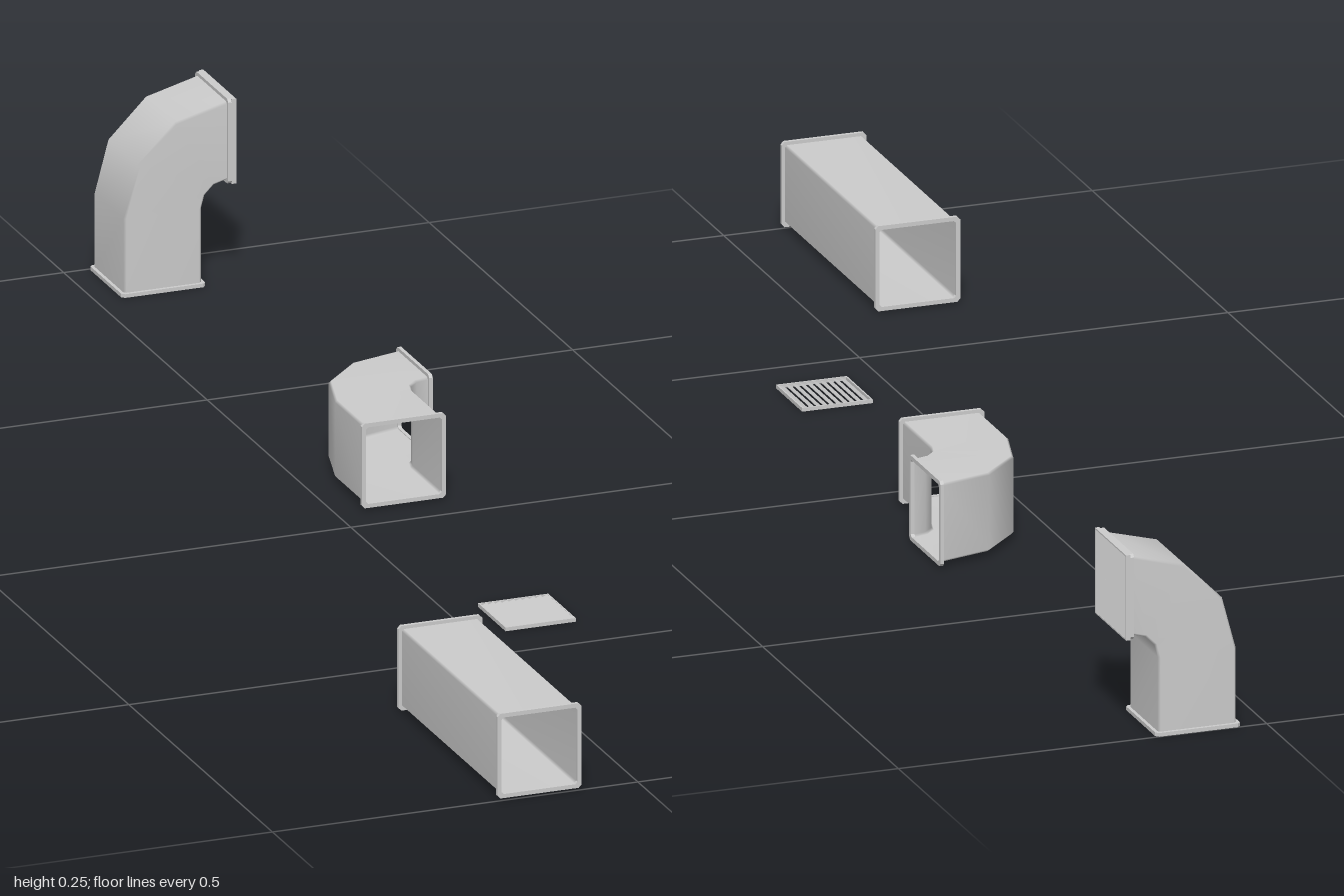
import * as THREE from 'three';

const HALF = 0.053;    // half width of the duct wall
const FLANGE = 0.0575; // half width of the flange
const LIP = 0.005;     // flange thickness
const BEND = 0.0875;   // centre-line radius of the elbow
const RISE = 0.105;    // straight run before the bend

const grey = new THREE.MeshStandardMaterial({ color: 0xcccccc, side: THREE.DoubleSide });

function add(parent, name, geometry, x = 0, y = 0, z = 0) {
  const mesh = new THREE.Mesh(geometry, grey);
  mesh.name = name;
  mesh.position.set(x, y, z);
  parent.add(mesh);
  return mesh;
}

// Corner points of a square with small bevels
function bevelledSquare(h, b) {
  const c = h - b;
  return [[h, -c], [h, c], [c, h], [-c, h], [-h, c], [-h, -c], [-c, -h], [c, -h]];
}

// Sweeps the square wall through sections [x, y, angle]; angle 0 runs up, 90 degrees runs to +x
function ductWall(sections) {
  const ring = bevelledSquare(HALF, 0.003);
  const n = ring.length, pos = [], index = [];
  sections.forEach(([x, y, a], s) => {
    ring.forEach(([u, z], i) => {
      pos.push(x + u * Math.cos(a), y - u * Math.sin(a), z);
      if (s === sections.length - 1) return;
      const p = s * n + i, q = s * n + (i + 1) % n;
      index.push(p, p + n, q, q, p + n, q + n);
    });
  });
  const g = new THREE.BufferGeometry();
  g.setAttribute('position', new THREE.Float32BufferAttribute(pos, 3));
  g.setIndex(index);
  g.computeVertexNormals();
  return g;
}

// Square flange ring lying flat, rising from y = 0
function flangeGeometry() {
  const points = (h, b) => bevelledSquare(h, b).map(([x, y]) => new THREE.Vector2(x, y));
  const shape = new THREE.Shape(points(FLANGE, 0.004));
  shape.holes.push(new THREE.Path(points(HALF - 0.001, 0.003)));
  return new THREE.ExtrudeGeometry(shape, { depth: LIP, bevelEnabled: false }).rotateX(-Math.PI / 2);
}

function straightDuct(length) {
  const g = new THREE.Group();
  g.name = 'straightDuct';
  add(g, 'straightWall', ductWall([[0, 0, 0], [0, length, 0]]));
  add(g, 'startFlange', flangeGeometry());
  add(g, 'endFlange', flangeGeometry(), 0, length - LIP, 0);
  return g;
}

function elbowDuct(name) {
  const g = new THREE.Group();
  g.name = name;
  const sections = [[0, 0, 0]];
  for (let i = 0; i <= 3; i++) {
    const a = i * Math.PI / 6;
    sections.push([BEND * (1 - Math.cos(a)), RISE + BEND * Math.sin(a), a]);
  }
  sections.push([BEND + LIP, RISE + BEND, Math.PI / 2]);
  add(g, 'elbowWall', ductWall(sections));
  add(g, 'inletFlange', flangeGeometry());
  add(g, 'outletFlange', flangeGeometry(), BEND, RISE + BEND, 0).rotation.z = -Math.PI / 2;
  return g;
}

// Louvred grille lying flat, slats along z
function grille(name, size, height, count) {
  const g = new THREE.Group();
  g.name = name;
  const bar = 0.002, edge = size / 2 - bar / 2;
  for (const s of [-1, 1]) {
    add(g, 'sideRail', new THREE.BoxGeometry(size, height, bar), 0, height / 2, s * edge);
    add(g, 'endRail', new THREE.BoxGeometry(bar, height, size), s * edge, height / 2, 0);
  }
  const pitch = (size - 2 * bar) / count;
  const tilt = Math.atan2(height - 0.001, pitch);
  const width = Math.hypot(height - 0.001, pitch);
  for (let i = 0; i < count; i++) {
    const slat = new THREE.BoxGeometry(width, 0.0008, size - 2 * bar);
    add(g, 'slat', slat, (i + 0.5 - count / 2) * pitch, height / 2, 0).rotation.z = tilt;
  }
  return g;
}

export function createModel() {
  const model = new THREE.Group();
  model.name = 'ventDuctSet';

  // Straight length of duct
  const straight = straightDuct(0.35);
  straight.position.set(-0.1345, 0.0605, 1);
  straight.rotation.x = -Math.PI / 2;

  // Loose grille on the ground
  const loose = grille('looseGrille', 0.096, 0.005, 10);
  loose.position.set(0.0925, 0, 0.378);

  // Elbow lying on its side
  const flat = elbowDuct('flatElbow');
  flat.position.set(0.0925, 0.0605, -0.05);
  flat.rotation.x = -Math.PI / 2;

  // Upright elbow with a grille over its outlet
  const upright = elbowDuct('uprightElbow');
  upright.position.set(0.0925, 0, -0.9425);
  const cover = grille('outletGrille', 2 * FLANGE, 0.006, 10);
  cover.position.set(BEND + LIP, RISE + BEND, 0);
  cover.rotation.z = -Math.PI / 2;
  upright.add(cover);

  model.add(straight, loose, flat, upright);
  return model;
}
